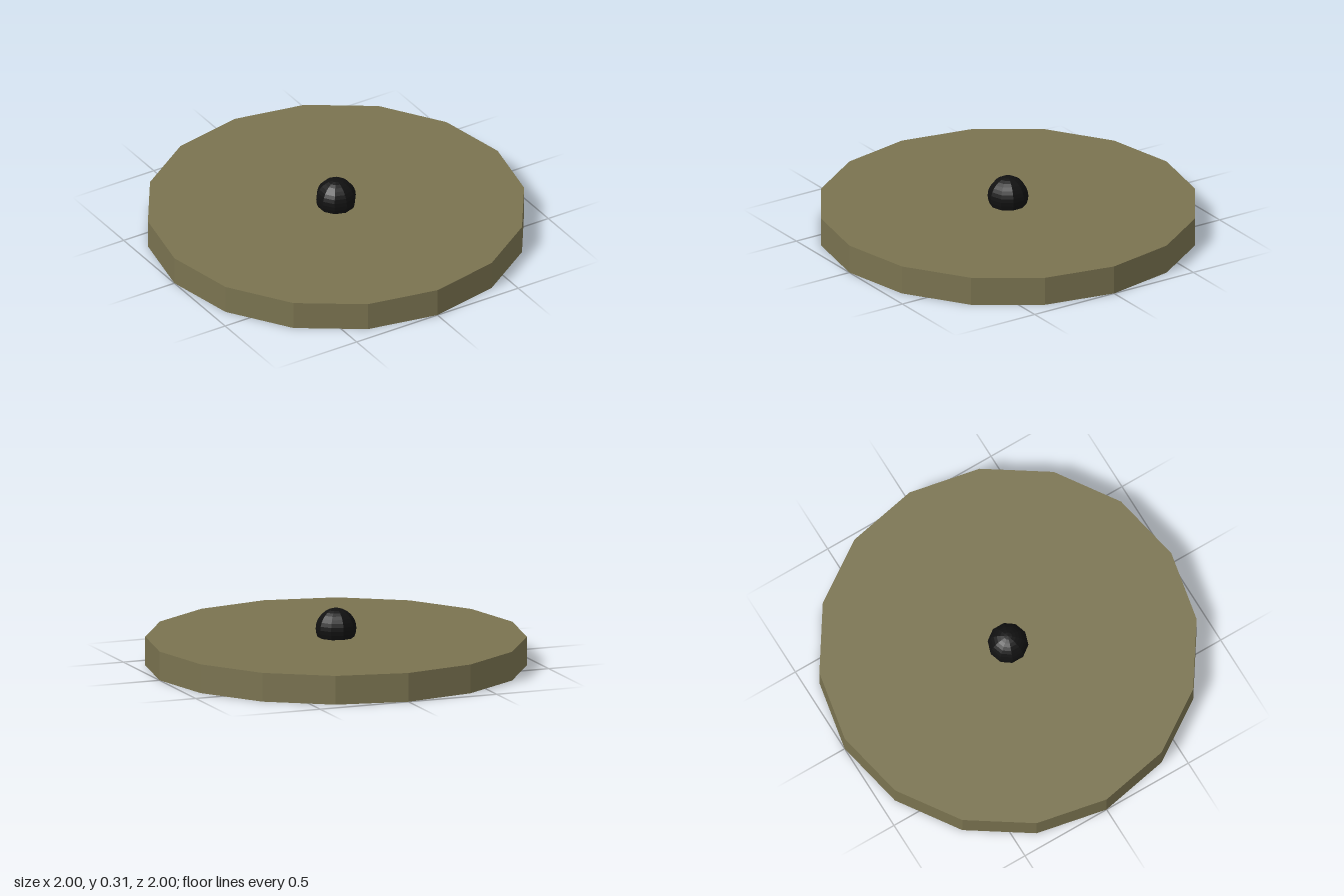
import * as THREE from 'three';

function part(name, geometry, color, y) {
  const material = new THREE.MeshStandardMaterial({ color, flatShading: true });
  const mesh = new THREE.Mesh(geometry, material);
  mesh.name = name;
  mesh.position.y = y;
  return mesh;
}

export function createModel() {
  const group = new THREE.Group();
  group.name = 'lid';

  // Sixteen-sided flat disc
  const height = 0.154;
  group.add(part('disc', new THREE.CylinderGeometry(1, 1, height, 16), 0x7a7350, height / 2));

  // Ten-sided round knob, partly sunk into the disc, corners towards front and back
  const knobRadius = 0.107;
  const knobGeometry = new THREE.SphereGeometry(knobRadius, 10, 16).rotateY(Math.PI / 2);
  group.add(part('knob', knobGeometry, 0x111111, 0.2));

  return group;
}
